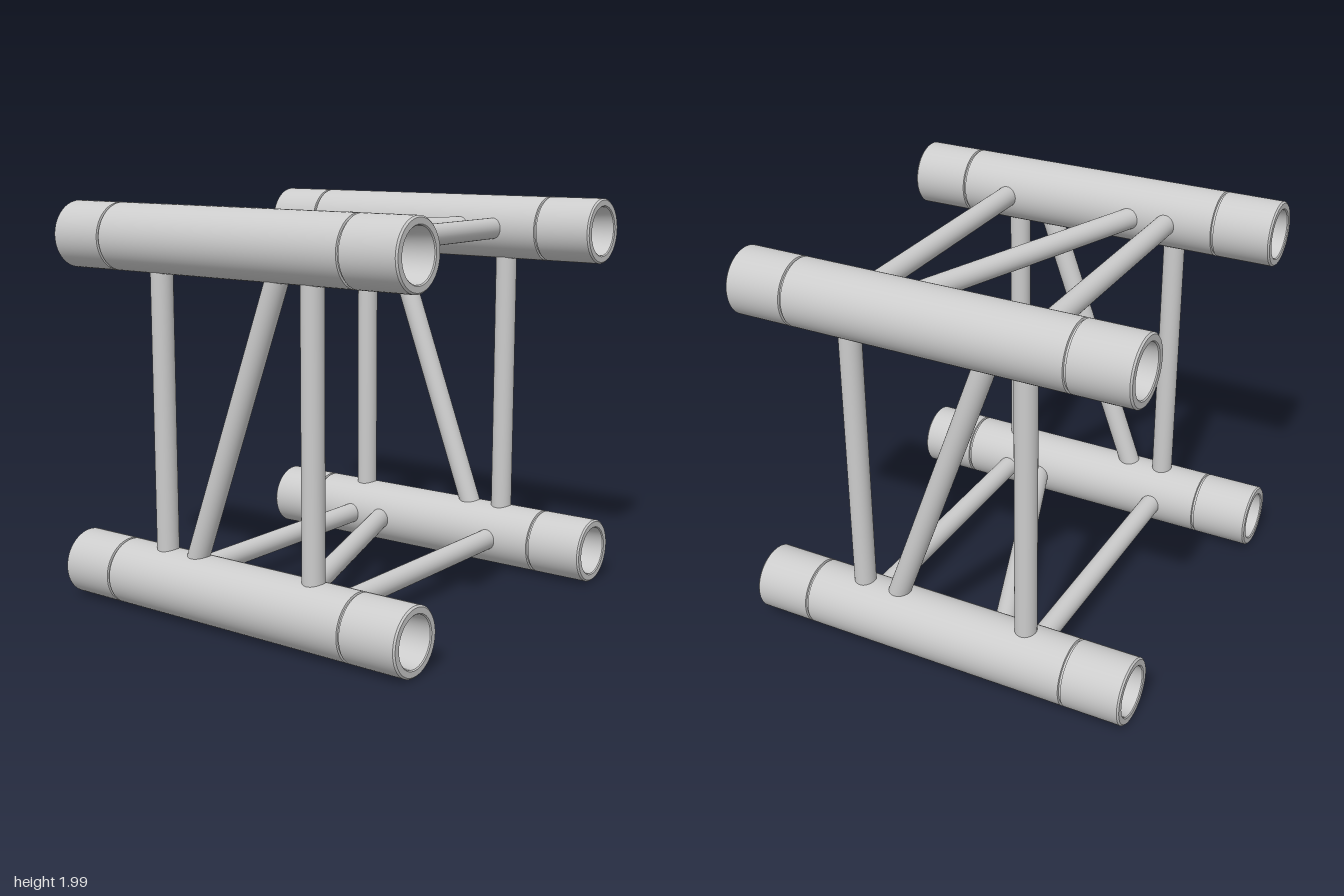
import * as THREE from 'three';
import { toCreasedNormals } from 'three/addons/utils/BufferGeometryUtils.js';

const R = 0.163;        // chord radius
const HALF = 0.83;      // chord axis offset from the truss centre
const STRUT_R = 0.054;
const material = new THREE.MeshStandardMaterial({ color: 0xcccccc });

// Half of the chord profile as [radius, distance from the middle], from the socket floor inwards
const END_PROFILE = [
  [0, 0.7], [0.104, 0.7], [0.122, 0.995], [0.127, 1], [0.155, 1], [R, 0.992],
  [R, 0.708], [R - 0.01, 0.706], [R - 0.01, 0.696], [R, 0.694],
];

function chordGeometry() {
  const near = END_PROFILE.map(([r, d]) => new THREE.Vector2(r, -d));
  const far = END_PROFILE.map(([r, d]) => new THREE.Vector2(r, d)).reverse();
  const geometry = new THREE.LatheGeometry([...near, ...far], 56);
  geometry.rotateZ(-Math.PI / 2);
  return toCreasedNormals(geometry, 0.5);
}

// Round bar between two points
function strut(name, from, to) {
  const axis = new THREE.Vector3().subVectors(to, from);
  const mesh = new THREE.Mesh(
    new THREE.CylinderGeometry(STRUT_R, STRUT_R, axis.length(), 32), material);
  mesh.name = name;
  mesh.position.addVectors(from, to).multiplyScalar(0.5);
  mesh.quaternion.setFromUnitVectors(new THREE.Vector3(0, 1, 0), axis.normalize());
  return mesh;
}

export function createModel() {
  const model = new THREE.Group();
  model.name = 'boxTruss';
  const chord = chordGeometry();
  const reach = 0.77;                // strut ends sit inside the chords
  const lean = 0.245 * reach / 0.667;

  // Each side holds one chord, two straight struts and a diagonal, turned about the long axis
  ['front', 'top', 'back', 'bottom'].forEach((label, i) => {
    const side = new THREE.Group();
    side.name = label + 'Side';

    const tube = new THREE.Mesh(chord, material);
    tube.name = 'chord';
    tube.position.set(0, HALF, HALF);
    side.add(tube);

    for (const x of [-0.447, 0.447]) {
      side.add(strut('straightStrut',
        new THREE.Vector3(x, -reach, HALF), new THREE.Vector3(x, reach, HALF)));
    }
    side.add(strut('diagonalStrut',
      new THREE.Vector3(-lean, -reach, HALF), new THREE.Vector3(lean, reach, HALF)));

    side.rotation.x = -i * Math.PI / 2;
    side.position.y = HALF + R;
    model.add(side);
  });
  return model;
}
